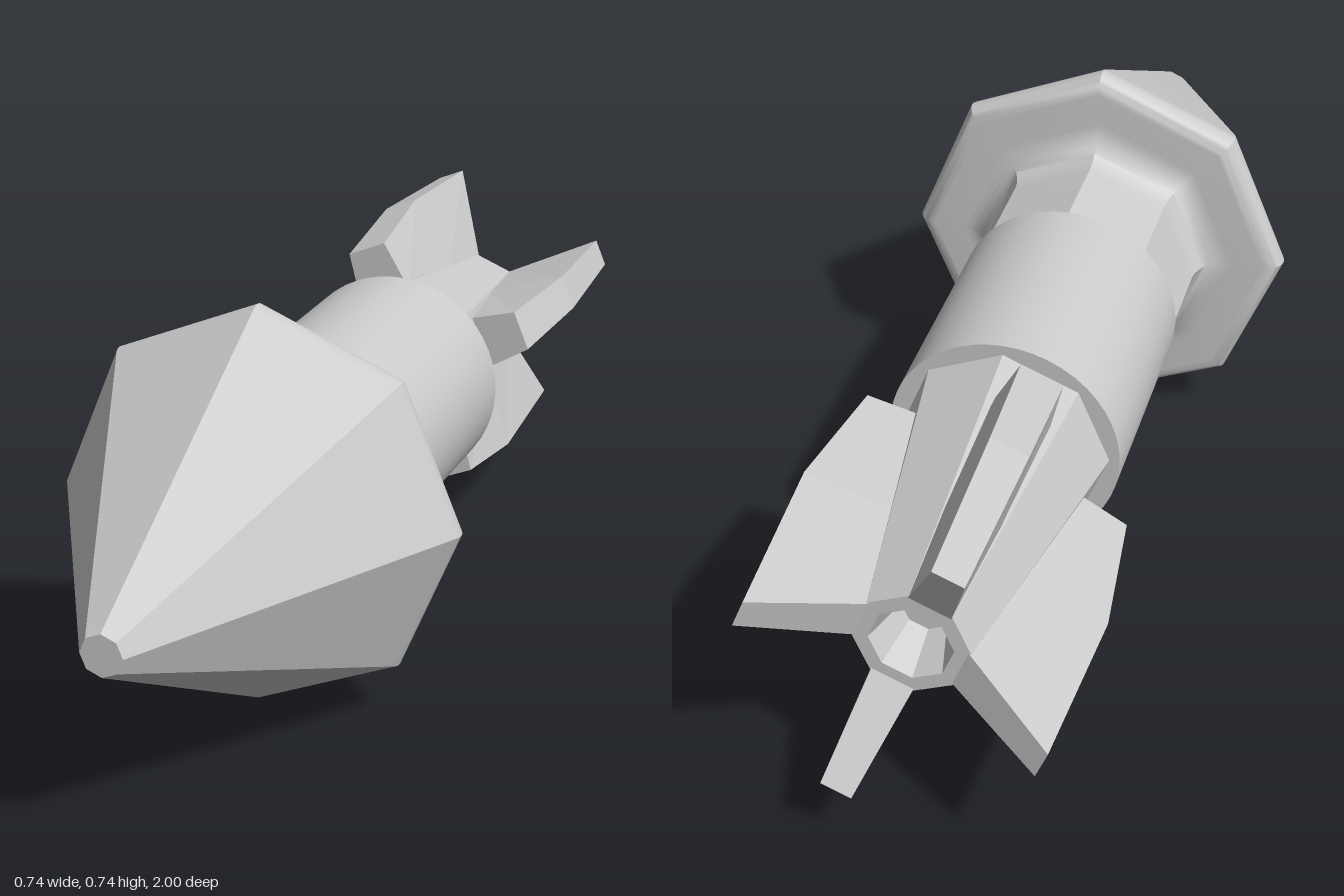
import * as THREE from 'three';
import { toCreasedNormals } from 'three/addons/utils/BufferGeometryUtils.js';

const AXIS_Y = 0.37;
const material = new THREE.MeshStandardMaterial({ color: 0xcccccc });

function part(name, geometry) {
  const mesh = new THREE.Mesh(geometry, material);
  mesh.name = name;
  return mesh;
}

// Turned shape along z; profile is [radius, z] from back to front
function turned(profile, sides) {
  const points = profile.map(([r, z]) => new THREE.Vector2(r, z));
  const geometry = new THREE.LatheGeometry(points, sides);
  geometry.rotateX(Math.PI / 2);
  return toCreasedNormals(geometry, THREE.MathUtils.degToRad(34));
}

// Points of an arc in the [radius, z] plane, angles in degrees
function arc(r, z, radius, from, to, steps) {
  return Array.from({ length: steps + 1 }, (_, i) => {
    const a = THREE.MathUtils.degToRad(from + ((to - from) * i) / steps);
    return [r + radius * Math.cos(a), z + radius * Math.sin(a)];
  });
}

// Fin along +x, lofted through quad cross-sections from front to back
function finGeometry() {
  const stations = [
    { inner: [0.145, -0.44], outer: [0.25, -0.44], base: 0.055, edge: 0.04 },
    { inner: [0.115, -0.68], outer: [0.28, -0.68], base: 0.049, edge: 0.035 },
    { inner: [0.088, -0.89], outer: [0.264, -1], base: 0.038, edge: 0.028 },
  ];
  const rings = stations.map(({ inner, outer, base, edge }) => [
    [inner[0], -base, inner[1]],
    [outer[0], -edge, outer[1]],
    [outer[0], edge, outer[1]],
    [inner[0], base, inner[1]],
  ]);
  const positions = [];
  const quad = (a, b, c, d) => positions.push(...a, ...b, ...c, ...a, ...c, ...d);
  quad(...rings[0]);
  for (let s = 0; s < 2; s++) {
    for (let k = 0; k < 4; k++) {
      const n = (k + 1) % 4;
      quad(rings[s][k], rings[s + 1][k], rings[s + 1][n], rings[s][n]);
    }
  }
  quad(...[...rings[2]].reverse());
  const geometry = new THREE.BufferGeometry();
  geometry.setAttribute('position', new THREE.Float32BufferAttribute(positions, 3));
  geometry.computeVertexNormals();
  return geometry;
}

export function createModel() {
  const model = new THREE.Group();
  model.name = 'finnedProjectile';
  const body = new THREE.Group();
  body.name = 'body';
  body.position.y = AXIS_Y;
  model.add(body);

  // Eight-sided neck, flared fillet, rounded rim and pointed nose
  body.add(part('noseAndNeck', turned([
    [0.208, 0.05],
    ...arc(0.273, 0.265, 0.065, 180, 90, 7),
    ...arc(0.335, 0.365, 0.035, -90, 28, 8),
    [0.037, 1],
    [0, 1],
  ], 8)));

  // Round sleeve around the middle
  body.add(part('sleeve', turned([[0, -0.345], [0.21, -0.345], [0.21, 0.105], [0, 0.105]], 48)));

  // Eight-sided tapered tail with a hollow end
  body.add(part('tailBoom', turned([
    [0, -0.8], [0.045, -0.8], [0.072, -0.89], [0.1, -0.89], [0.192, -0.34],
  ], 8)));

  // Four fins, each on every second face of the tail
  const fin = finGeometry();
  for (let i = 0; i < 4; i++) {
    const mesh = part('tailFin' + (i + 1), fin);
    mesh.rotation.z = Math.PI / 8 + (i * Math.PI) / 2;
    body.add(mesh);
  }
  return model;
}
